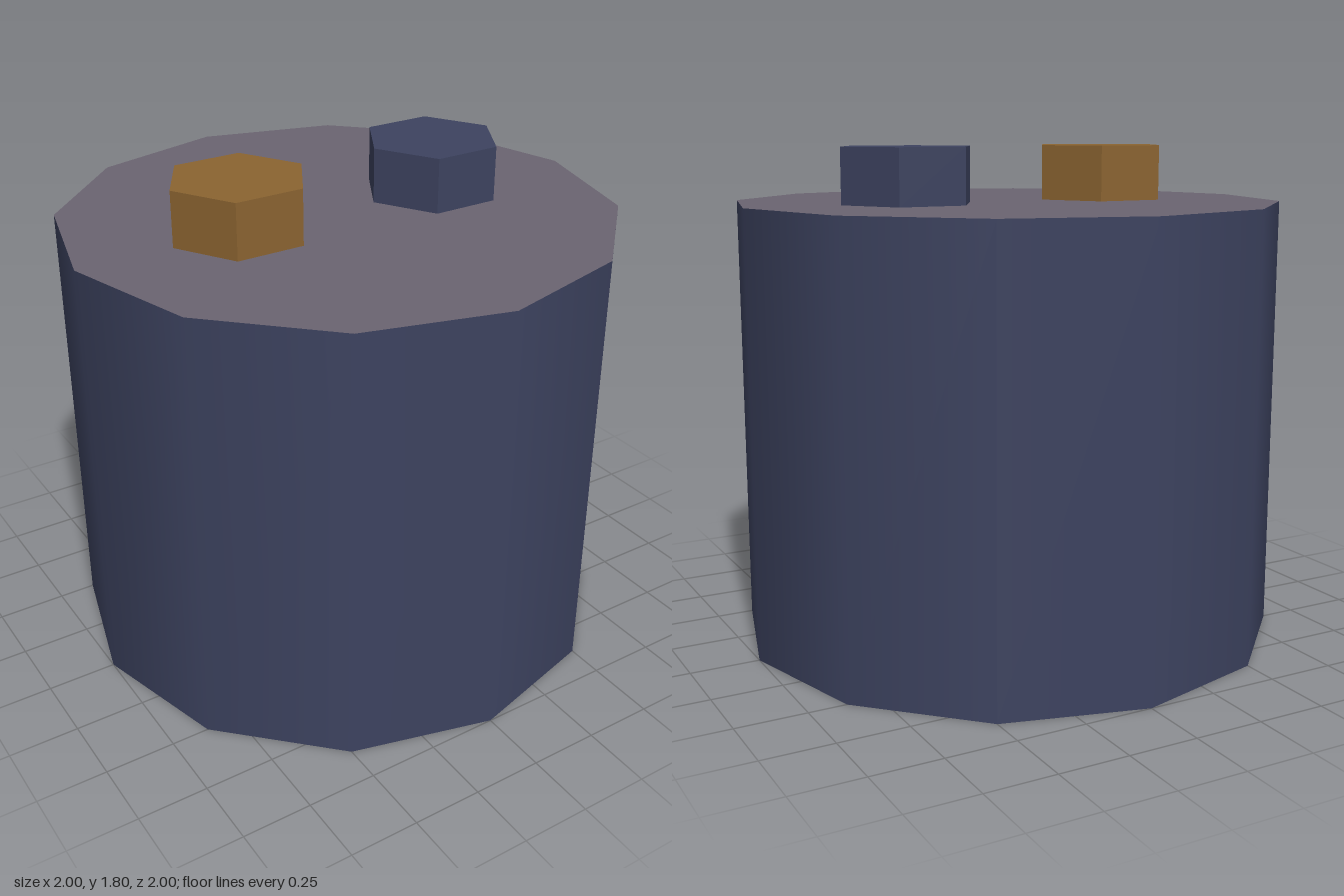
import * as THREE from 'three';

export function createModel() {
  const group = new THREE.Group();
  const mat = (name, color, opts = {}) =>
    Object.assign(new THREE.MeshStandardMaterial({ color, ...opts }), { name });

  const navyShell = mat('navy', 0x3d4360, { side: THREE.DoubleSide });
  const grey = mat('mauve grey', 0x6b6471, { side: THREE.DoubleSide });
  const gold = mat('bronze gold', 0x8b6431, { flatShading: true });

  const add = (name, geometry, material, x, y) => {
    const mesh = new THREE.Mesh(geometry, material);
    mesh.name = name;
    mesh.position.set(x, y, 0);
    group.add(mesh);
    return mesh;
  };

  // Smooth twelve-sided wall, open at the bottom
  add('wall', new THREE.CylinderGeometry(1, 1, 1.6, 12, 1, true), navyShell, 0, 0.8);

  // Flat lid closing the top
  add('lid', new THREE.CircleGeometry(1, 12).rotateX(-Math.PI / 2), grey, 0, 1.6);

  // Two hexagonal terminals, corners pointing along x
  const hex = new THREE.CylinderGeometry(0.25, 0.25, 0.2, 6, 1, false, Math.PI / 2).toNonIndexed();
  hex.computeVertexNormals();
  add('rightTerminal', hex, gold, -0.4, 1.7);
  add('leftTerminal', hex, navyShell, 0.4, 1.7);

  return group;
}
